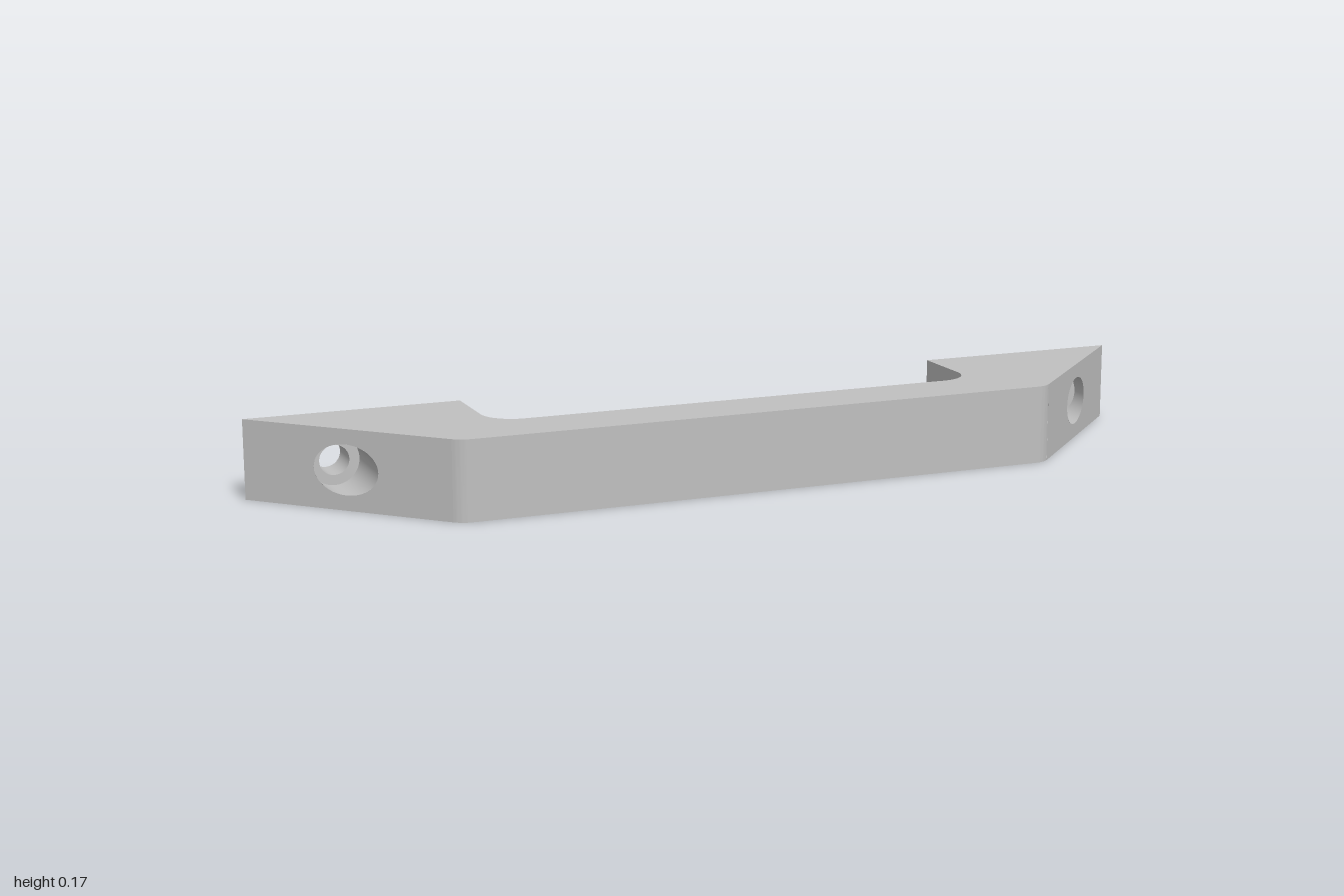
import * as THREE from 'three';
import { toCreasedNormals } from 'three/addons/utils/BufferGeometryUtils.js';

const H = 0.167;               // height of the bar
const BACK = -0.175;           // mounting plane
const SLANT = 0.825;           // bevelled ends follow |x| + z = SLANT
const HOLE = { x: 0.833, y: H / 2, z: -0.008 };
const BORE_R = 0.052, SCREW_R = 0.031, SEAT_Z = -0.1;

// points [x, z] along a circular fillet, angles in degrees
function arc(cx, cz, r, from, to, n) {
  return Array.from({ length: n + 1 }, (_, i) => {
    const a = THREE.MathUtils.degToRad(from + (to - from) * i / n);
    return [cx + r * Math.cos(a), cz + r * Math.sin(a)];
  });
}
const mirrored = (pts) => pts.map(([x, z]) => [-x, z]).reverse();

// upright wall following a path of [x, z] points
function wall(path) {
  const n = path.length;
  const geo = new THREE.PlaneGeometry(1, H, n - 1, 1);
  const pos = geo.attributes.position;
  for (let i = 0; i < pos.count; i++) {
    const [x, z] = path[i % n];
    pos.setXYZ(i, x, i < n ? H : 0, z);
  }
  return toCreasedNormals(geo, 0.5);
}

// horizontal face, up = 1 for the top and -1 for the bottom
function cap(outline, up) {
  const shape = new THREE.Shape(outline.map(([x, z]) => new THREE.Vector2(x, -up * z)));
  return new THREE.ShapeGeometry(shape).rotateX(-up * Math.PI / 2).translate(0, up > 0 ? H : 0, 0);
}

// rectangular panel around the hole centre, pierced by an ellipse
function panel(u0, u1, rx, ry) {
  const v = H / 2;
  const shape = new THREE.Shape([[u0, -v], [u1, -v], [u1, v], [u0, v]].map((p) => new THREE.Vector2(...p)));
  shape.holes.push(new THREE.Path().absellipse(0, 0, rx, ry, 0, Math.PI * 2));
  return new THREE.ShapeGeometry(shape, 48);
}

export function createModel() {
  const metal = new THREE.MeshStandardMaterial({ color: 0xc0c0c0, side: THREE.DoubleSide });
  metal.name = 'grey metal';
  const model = new THREE.Group();
  model.name = 'pullHandle';
  const add = (parent, name, geo) => {
    const mesh = new THREE.Mesh(geo, metal);
    mesh.name = name;
    parent.add(mesh);
    return mesh;
  };

  // grip outline
  const frontFillet = arc(0.629, 0.125, 0.05, 90, 45, 8);
  const innerFillet = arc(0.475, -0.03, 0.07, 0, 90, 16);
  const front = [...mirrored(frontFillet), ...frontFillet];
  const innerHalf = [[0.545, BACK], ...innerFillet];
  const inner = [...innerHalf, ...mirrored(innerHalf)];
  const outline = [...front, [1, BACK], ...inner, [-1, BACK]];

  add(model, 'topFace', cap(outline, 1));
  add(model, 'bottomFace', cap(outline, -1));
  add(model, 'frontWall', wall(front));
  add(model, 'innerWall', wall(inner));

  // mounting feet with counterbored screw holes
  for (const side of [1, -1]) {
    const foot = new THREE.Group();
    foot.name = side > 0 ? 'leftFoot' : 'rightFoot';
    model.add(foot);
    const cx = side * HOLE.x;

    // bevelled end face
    const tangentX = frontFillet[frontFillet.length - 1][0];
    const bevel = panel(side * (tangentX - HOLE.x) * Math.SQRT2, side * (1 - HOLE.x) * Math.SQRT2,
      BORE_R * Math.SQRT2, BORE_R);
    bevel.rotateY(side * Math.PI / 4).translate(cx, HOLE.y, HOLE.z);
    add(foot, 'bevelFace', bevel);

    // flat mounting face
    const back = panel(-side * (0.545 - HOLE.x), -side * (1 - HOLE.x), SCREW_R, SCREW_R);
    back.rotateY(Math.PI).translate(cx, HOLE.y, BACK);
    add(foot, 'mountingFace', back);

    // counterbore, its rim cut along the bevel
    const bore = new THREE.CylinderGeometry(BORE_R, BORE_R, 1, 48, 1, true).rotateX(Math.PI / 2);
    bore.translate(cx, HOLE.y, 0);
    const pos = bore.attributes.position;
    for (let i = 0; i < pos.count; i++) {
      pos.setZ(i, pos.getZ(i) > 0 ? SLANT - Math.abs(pos.getX(i)) : SEAT_Z);
    }
    add(foot, 'counterbore', bore);

    // screw seat and through hole
    add(foot, 'screwSeat', new THREE.RingGeometry(SCREW_R, BORE_R, 48).translate(cx, HOLE.y, SEAT_Z));
    const depth = SEAT_Z - BACK;
    const hole = new THREE.CylinderGeometry(SCREW_R, SCREW_R, depth, 48, 1, true).rotateX(Math.PI / 2);
    add(foot, 'screwHole', hole.translate(cx, HOLE.y, BACK + depth / 2));
  }
  return model;
}
